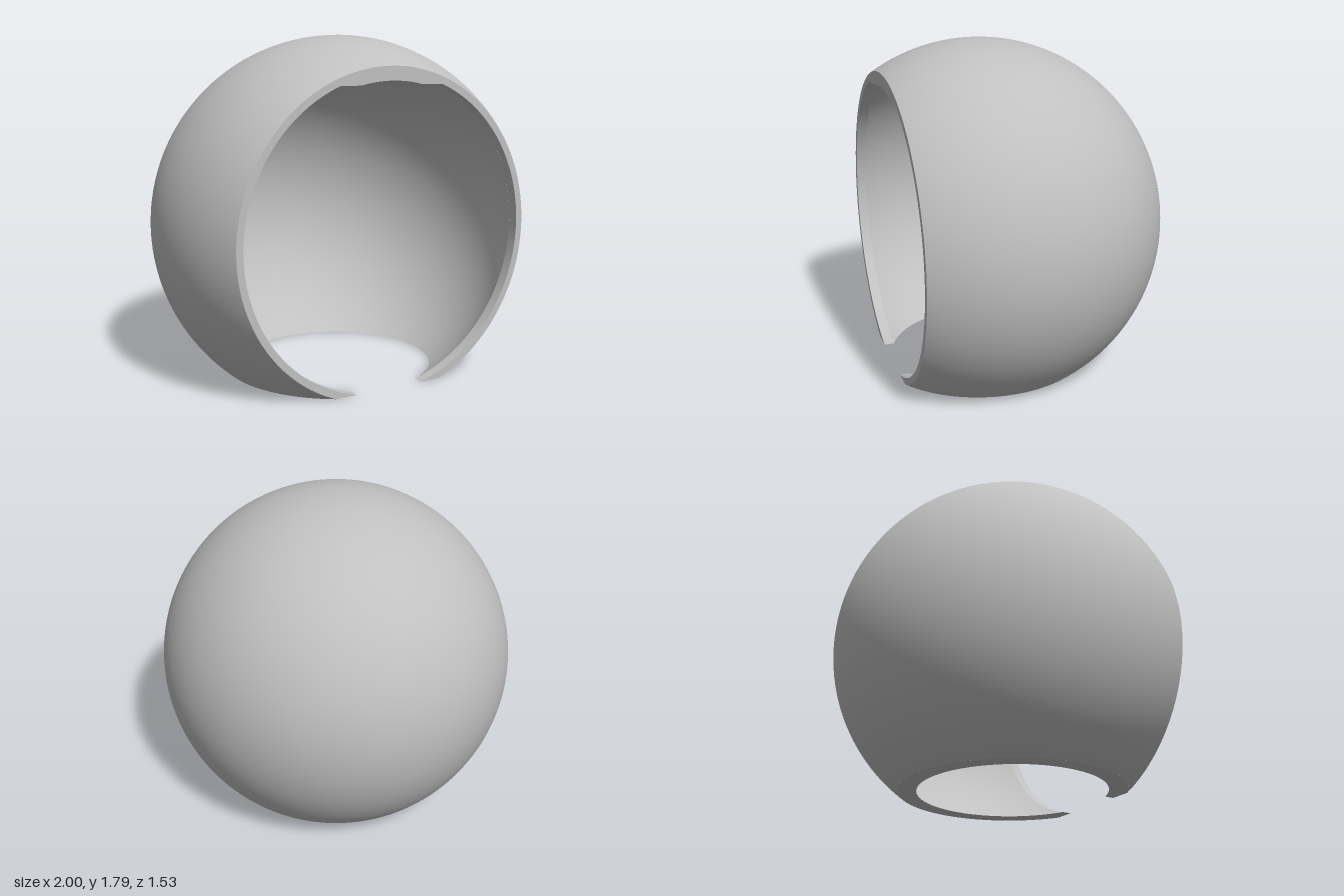
import * as THREE from 'three';

// Distances are measured from the centre of the sphere
const OUTER = 1, INNER = 0.94, FLOOR = 0.786, FRONT = 0.532, RIM = 0.81, LEDGE = 0.754;
const CENTRE_Z = 0.235;
const leg = (r, d) => Math.sqrt(Math.max(0, r * r - d * d));
const RIM_Z = leg(INNER, RIM); // depth at which the rim recess meets the cavity

// Half-angle, from the top, that a ring covers before the floor cuts it
const span = (rho) => (rho > FLOOR ? Math.acos(-FLOOR / rho) : Math.PI);
const ringPoint = (rho, t, z) => new THREE.Vector3(rho * Math.sin(t), rho * Math.cos(t), z);

// Grid of quads from a point rule and a normal rule
function grid(nu, nv, point, normal, inward) {
  const pos = [], nor = [], idx = [];
  for (let j = 0; j <= nv; j++) {
    for (let i = 0; i <= nu; i++) {
      const p = point(i / nu, j / nv);
      const n = normal(p).normalize();
      if (inward) n.negate();
      pos.push(p.x, p.y, p.z);
      nor.push(n.x, n.y, n.z);
      if (i < nu && j < nv) {
        const a = j * (nu + 1) + i, b = a + nu + 1;
        if (inward) idx.push(a, a + 1, b, a + 1, b + 1, b);
        else idx.push(a, b, a + 1, a + 1, b, b + 1);
      }
    }
  }
  const g = new THREE.BufferGeometry();
  g.setAttribute('position', new THREE.Float32BufferAttribute(pos, 3));
  g.setAttribute('normal', new THREE.Float32BufferAttribute(nor, 3));
  g.setIndex(idx);
  return g;
}

// Sphere from its back pole to zEnd, cut flat by the floor;
// rows crowd together where the floor cut begins
function cutSphere(r, zEnd, inward) {
  const start = Math.acos(leg(r, FLOOR) / r), end = Math.acos(-zEnd / r);
  return grid(120, 100, (u, v) => {
    const s = (v - 0.25) / 0.75;
    const phi = v < 0.25 ? start * v * 4 : start + (end - start) * s * s;
    const rho = r * Math.sin(phi);
    return ringPoint(rho, (2 * u - 1) * span(rho), -r * Math.cos(phi));
  }, (p) => p.clone(), inward);
}

// Points along an arc measured from +y
function arc(r, from, to, n) {
  return Array.from({ length: n + 1 }, (_, i) => {
    const t = from + (to - from) * i / n;
    return new THREE.Vector2(r * Math.sin(t), r * Math.cos(t));
  });
}
const plate = (points) => new THREE.ShapeGeometry(new THREE.Shape(points));

export function createModel() {
  const model = new THREE.Group();
  const grey = new THREE.MeshStandardMaterial({ color: 0xc0c0c0 });
  grey.name = 'plain grey';
  const add = (name, geometry, y = 0, z = 0) => {
    const mesh = new THREE.Mesh(geometry, grey);
    mesh.name = name;
    mesh.position.set(0, FLOOR + y, CENTRE_Z + z);
    model.add(mesh);
  };

  // Shell surfaces
  add('outerShell', cutSphere(OUTER, FRONT, false));
  add('innerShell', cutSphere(INNER, RIM_Z, true));

  // Underside of the brow tab, continuing the cavity up to the front
  add('browUnderside', grid(24, 6, (u, v) => {
    const z = RIM_Z + (FRONT - RIM_Z) * v, rho = leg(INNER, z);
    return ringPoint(rho, (2 * u - 1) * Math.acos(LEDGE / rho), z);
  }, (p) => p.clone(), true));

  // Recessed rim wall on either side of the tab
  const rimTop = Math.acos(LEDGE / RIM), rimEnd = span(RIM);
  for (const side of [-1, 1]) {
    const name = side > 0 ? 'left' : 'right';
    const [a, b] = side > 0 ? [rimTop, rimEnd] : [-rimEnd, -rimTop];
    add(name + 'RimWall', grid(64, 1,
      (u, v) => ringPoint(RIM, a + (b - a) * u, RIM_Z + (FRONT - RIM_Z) * v),
      (p) => new THREE.Vector3(p.x, p.y, 0), true));

    // Small flat ledge at the end of the tab
    const xMax = leg(RIM, LEDGE);
    const ledge = [new THREE.Vector2(side * xMax, FRONT)];
    for (let i = 0; i <= 8; i++) {
      const z = FRONT + (RIM_Z - FRONT) * i / 8;
      ledge.push(new THREE.Vector2(side * leg(leg(INNER, LEDGE), z), z));
    }
    add(name + 'BrowLedge', plate(ledge).rotateX(Math.PI / 2), LEDGE);
  }

  // Front face between the outer edge and the opening
  const edge = leg(OUTER, FRONT), brow = leg(INNER, FRONT);
  const browEnd = Math.acos(LEDGE / brow);
  add('frontFace', plate([
    ...arc(edge, -span(edge), span(edge), 140),
    ...arc(RIM, rimEnd, rimTop, 64),
    ...arc(brow, browEnd, -browEnd, 24),
    ...arc(RIM, -rimTop, -rimEnd, 64),
  ]), 0, FRONT);

  // Flat base, open at the front
  const baseOut = leg(OUTER, FLOOR), baseIn = leg(INNER, FLOOR), tip = leg(RIM, FLOOR);
  const outEnd = Math.acos(-FRONT / baseOut), inEnd = Math.acos(-RIM_Z / baseIn);
  const base = [
    ...arc(baseOut, -outEnd, outEnd, 100),
    new THREE.Vector2(tip, -FRONT),
    ...arc(baseIn, inEnd, -inEnd, 100),
    new THREE.Vector2(-tip, -FRONT),
  ].map((p) => new THREE.Vector2(p.x, -p.y));
  add('baseFace', plate(base).rotateX(Math.PI / 2), -FLOOR);

  return model;
}
